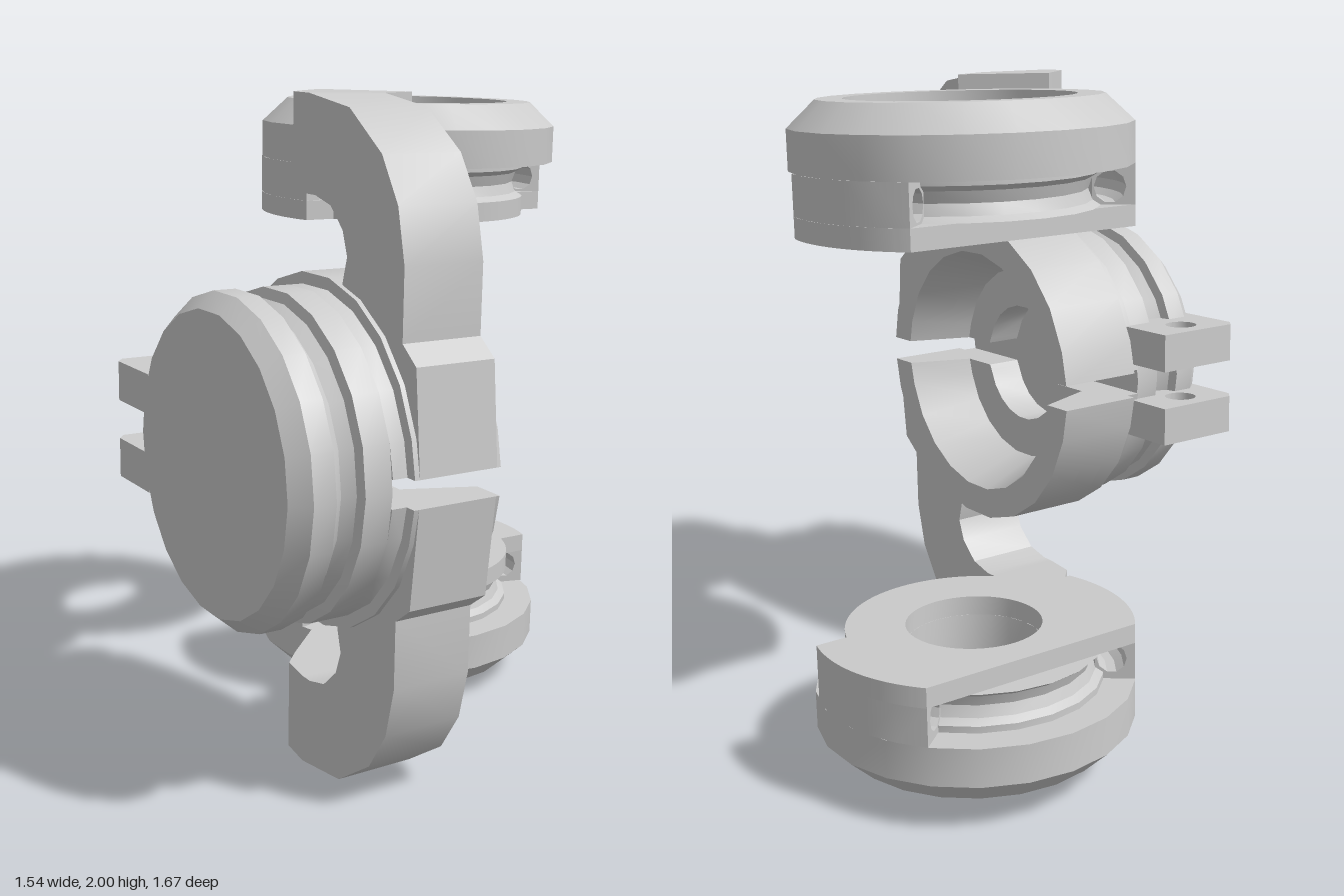
import * as THREE from 'three';
import { mergeGeometries, toCreasedNormals } from 'three/addons/utils/BufferGeometryUtils.js';

const SEG = 22;
const grey = new THREE.MeshStandardMaterial({ color: 0xcccccc, side: THREE.DoubleSide });
const vecs = (pts) => pts.map(([x, y]) => new THREE.Vector2(x, y));

function addPart(parent, name, geometry) {
  const mesh = new THREE.Mesh(toCreasedNormals(geometry, 0.5), grey);
  mesh.name = name;
  parent.add(mesh);
}

// Copy mirrored in y, with the triangle winding restored
function mirrorY(geometry) {
  const g = geometry.index ? geometry.toNonIndexed() : geometry.clone();
  g.scale(1, -1, 1);
  const p = g.attributes.position;
  const a = new THREE.Vector3(), b = new THREE.Vector3();
  for (let i = 0; i < p.count; i += 3) {
    a.fromBufferAttribute(p, i);
    b.fromBufferAttribute(p, i + 2);
    p.setXYZ(i, b.x, b.y, b.z);
    p.setXYZ(i + 2, a.x, a.y, a.z);
  }
  return g;
}

function addPair(parent, name, geometry) {
  addPart(parent, 'upper' + name, geometry);
  addPart(parent, 'lower' + name, mirrorY(geometry));
}

// Part-turn of a closed profile, with both end faces and an optional tunnel
function sector(profile, start, length, segments, tunnel) {
  const closed = vecs([...profile, profile[0]]);
  const parts = [new THREE.LatheGeometry(closed, segments, start, length)];
  const face = new THREE.Shape(vecs(profile));
  if (tunnel) {
    face.holes.push(new THREE.Path(vecs(tunnel)));
    parts.push(new THREE.LatheGeometry(vecs([...tunnel, tunnel[0]]), segments, start, length));
  }
  for (const phi of [start, start + length]) {
    parts.push(new THREE.ShapeGeometry(face).rotateY(phi - Math.PI / 2));
  }
  return mergeGeometries(parts);
}

// Flat outline in x and -z, extruded upward from y0 to y1
function slab(shape, y0, y1) {
  const g = new THREE.ExtrudeGeometry(shape, { depth: y1 - y0, bevelEnabled: false, curveSegments: SEG });
  return g.rotateX(-Math.PI / 2).translate(0, y0, 0);
}

function addHub(parent) {
  const hub = new THREE.Group();
  hub.name = 'hub';
  hub.position.z = 0.32;
  parent.add(hub);

  // Solid grooved end, axis turned onto x
  const body = new THREE.LatheGeometry(vecs([
    [0, -0.765], [0.43, -0.765], [0.475, -0.715], [0.475, -0.648], [0.445, -0.64], [0.425, -0.605],
    [0.445, -0.57], [0.475, -0.562], [0.475, -0.48], [0, -0.48]]), SEG);
  addPart(hub, 'hubBody', body.rotateZ(-Math.PI / 2));

  // Two half cups separated by a parallel slot
  const half = sector([[0.2, -0.48], [0.475, -0.48], [0.475, -0.435], [0.51, -0.435], [0.51, -0.158],
    [0.41, -0.158], [0.33, -0.36], [0.2, -0.36]], Math.PI, Math.PI, SEG / 2);
  half.rotateZ(-Math.PI / 2);
  const p = half.attributes.position;
  for (let i = 0; i < p.count; i++) p.setY(i, Math.max(p.getY(i), 0.04));
  addPair(hub, 'HubCup', half);

  // Clamp ears with bolt holes
  const ear = new THREE.Shape(vecs([[-0.765, 0.39], [-0.46, 0.39], [-0.46, 0.63], [-0.74, 0.63], [-0.765, 0.6]]));
  ear.holes.push(new THREE.Path().absarc(-0.615, 0.53, 0.05, 0, Math.PI * 2, true));
  addPair(hub, 'ClampEar', slab(ear, 0.06, 0.18));
}

function addArms(parent) {
  // Curved side bracket, profile in z and y
  const bracket = new THREE.Shape(vecs([
    [0.765, 0.04], [0.83, 0.04], [0.8, 0.33], [0.735, 0.38], [0.735, 0.58], [0.7, 0.73], [0.62, 0.855],
    [0.46, 0.965], [0.25, 0.995], [0.25, 0.72], [0.29, 0.72], [0.37, 0.7], [0.435, 0.64], [0.46, 0.57],
    [0.44, 0.5], [0.44, 0.44], [0.6, 0.35], [0.74, 0.16]]));
  const side = new THREE.ExtrudeGeometry(bracket, { depth: 0.25, bevelEnabled: false });
  addPair(parent, 'Bracket', side.rotateY(-Math.PI / 2).translate(-0.17, 0, 0));

  // Diagonal bar from bracket to ring
  const bar = new THREE.Shape(vecs([[-0.42, -0.25], [-0.17, -0.25], [0, -0.136], [-0.2, 0.065],
    [-0.35, -0.08], [-0.405, -0.14]]));
  addPair(parent, 'Bar', slab(bar, 0.72, 0.995));
}

function addRing(parent) {
  const at = (g) => g.translate(0.295, 0, -0.315);

  // Bored ring body with a concave groove below it
  const body = new THREE.LatheGeometry(vecs([
    [0.205, 0.65], [0.385, 0.65], [0.362, 0.665], [0.35, 0.697], [0.362, 0.73], [0.385, 0.745], [0.385, 0.765],
    [0.48, 0.765], [0.48, 0.88], [0.4, 0.955], [0.325, 0.955], [0.325, 0.78], [0.205, 0.78], [0.205, 0.65]]), SEG);
  addPair(parent, 'RingBody', at(body));

  // End plate: small front flange, wide sides, flat back
  const plate = new THREE.Shape();
  plate.moveTo(0.366, 0.31);
  plate.absarc(0, 0, 0.48, Math.PI - 0.702, Math.PI + 0.274, false);
  plate.absarc(0, 0, 0.385, Math.PI + 0.344, 2 * Math.PI - 0.344, false);
  plate.absarc(0, 0, 0.48, -0.274, 0.702, false);
  plate.holes.push(new THREE.Path().absarc(0, 0, 0.205, 0, Math.PI * 2, true));
  addPair(parent, 'RingPlate', at(slab(plate, 0.59, 0.65)));

  // Side lobes, each with a tunnel that continues the groove
  const tunnel = [];
  for (let i = 0; i < 10; i++) {
    const t = -i * Math.PI / 5;
    tunnel.push([0.41 + 0.045 * Math.cos(t), 0.7 + 0.045 * Math.sin(t)]);
  }
  const profile = [[0.36, 0.65], [0.48, 0.65], [0.48, 0.765], [0.36, 0.765]];
  const start = Math.PI / 2 - 0.274, length = 0.976;
  for (const [name, phi] of [['LeftLobe', start], ['RightLobe', 2 * Math.PI - start - length]]) {
    addPair(parent, name, at(sector(profile, phi, length, 5, tunnel)));
  }

  // Neck joining ring and bar
  const neck = new THREE.BoxGeometry(0.16, 0.21, 0.27).translate(-0.47, 0.84, 0);
  addPair(parent, 'Neck', at(neck.rotateY(0.76)));
}

export function createModel() {
  const model = new THREE.Group();
  model.name = 'gimbalBracket';
  const frame = new THREE.Group();
  frame.name = 'frame';
  frame.position.y = 1.005;
  frame.rotation.set(0.04, 0.015, 0);
  model.add(frame);
  addHub(frame);
  addArms(frame);
  addRing(frame);
  return model;
}
